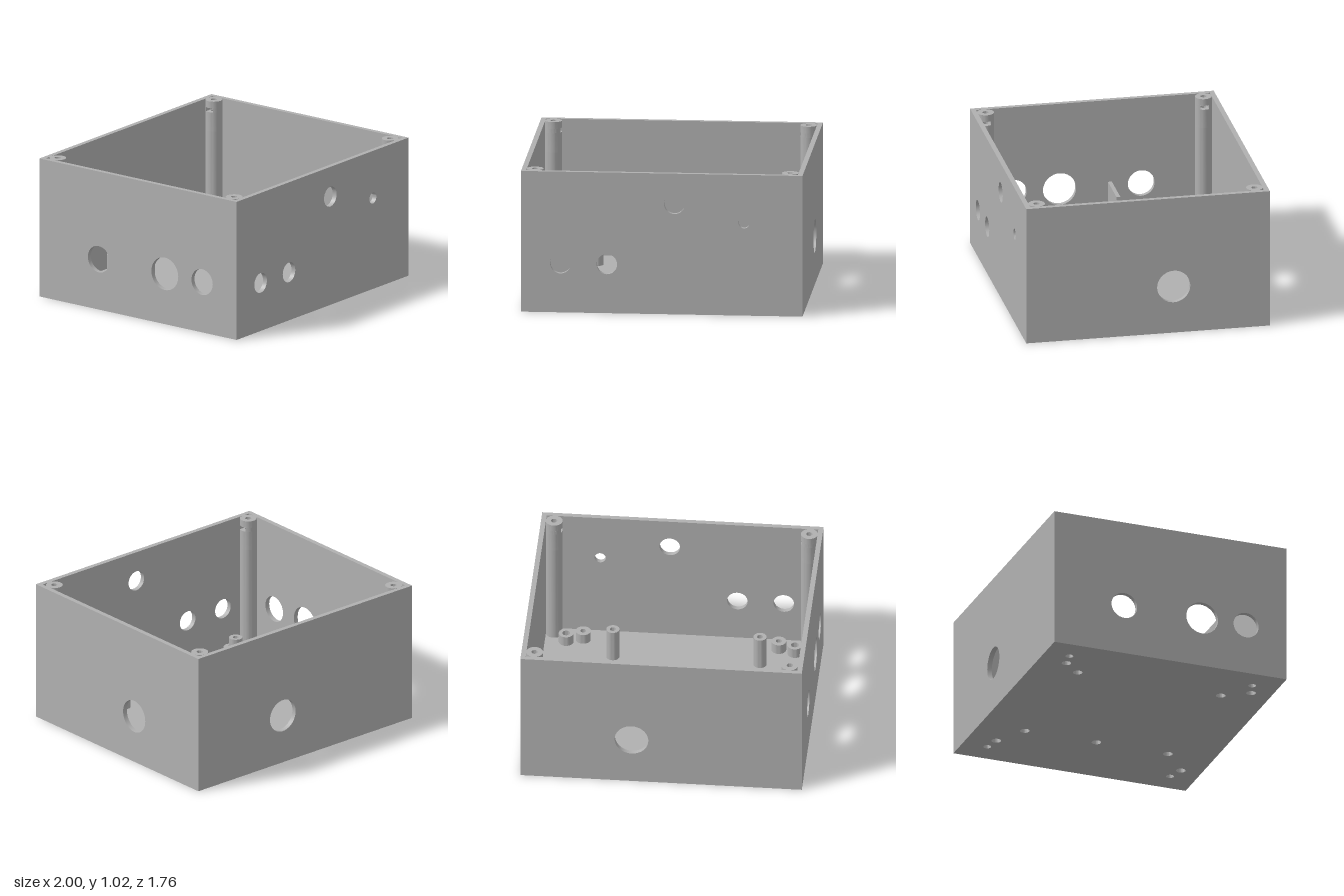
import * as THREE from 'three';
import { toCreasedNormals } from 'three/addons/utils/BufferGeometryUtils.js';

const W = 1, D = 0.88, H = 1.02, T = 0.035;

const grey = new THREE.MeshStandardMaterial({ color: 0xb0b0b0 });
grey.name = 'greyPlastic';

function circlePath(x, y, r, Type = THREE.Path) {
  return new Type().absarc(x, y, r, 0, Math.PI * 2, false);
}

function rectangle(halfWidth, y0, y1) {
  return new THREE.Shape([
    new THREE.Vector2(-halfWidth, y0), new THREE.Vector2(halfWidth, y0),
    new THREE.Vector2(halfWidth, y1), new THREE.Vector2(-halfWidth, y1),
  ]);
}

// Extrudes a shape with circular holes [x, y, r]
function extrude(shape, depth, holes = []) {
  for (const [x, y, r] of holes) shape.holes.push(circlePath(x, y, r));
  const geo = new THREE.ExtrudeGeometry(shape, { depth, bevelEnabled: false, curveSegments: 18 });
  return toCreasedNormals(geo, 0.6);
}

// Extrudes upwards: shape y becomes -z
function extrudeUp(shape, y0, y1, holes) {
  return extrude(shape, y1 - y0, holes).rotateX(-Math.PI / 2).translate(0, y0, 0);
}

export function createModel() {
  const model = new THREE.Group();
  model.name = 'enclosure';

  function add(parent, name, geo, x = 0, y = 0, z = 0) {
    const mesh = new THREE.Mesh(geo, grey);
    mesh.name = name;
    mesh.position.set(x, y, z);
    parent.add(mesh);
    return mesh;
  }

  // Front and back walls with cable holes
  const frontHoles = [[0.09, 0.8, 0.073], [0.585, 0.672, 0.04], [-0.72, 0.355, 0.073], [-0.39, 0.355, 0.073]];
  add(model, 'frontWall', extrude(rectangle(W, 0, H), T, frontHoles), 0, 0, D - T);
  add(model, 'backWall', extrude(rectangle(W, 0, H), T, [[0.21, 0.36, 0.12]]), 0, 0, -D);

  // Side walls, drawn in z and y
  const sideWall = (holes) => extrude(rectangle(D - T, 0, H), T, holes).rotateY(-Math.PI / 2);
  add(model, 'leftWall', sideWall([[-0.185, 0.35, 0.12]]), W);
  add(model, 'rightWall', sideWall([[-0.35, 0.372, 0.097], [0.24, 0.372, 0.12], [0.573, 0.372, 0.095]]), -W + T);

  // Standoffs: x, z, radius, bore, height, floor hole radius
  const standoffs = [];
  for (const s of [-1, 1]) {
    standoffs.push([s * 0.813, -0.695, 0.053, 0.028, 0.11, 0.028]);
    standoffs.push([s * 0.813, 0.69, 0.053, 0.028, 0.11, 0.028]);
    standoffs.push([s * 0.695, -0.672, 0.053, 0.021, 0.11, 0.034]);
    standoffs.push([s * 0.695, 0.727, 0.053, 0.021, 0.11, 0.034]);
    standoffs.push([-0.578, s * 0.542, 0.047, 0.021, 0.275, 0.034]);
    standoffs.push([0.468, s * 0.542, 0.047, 0.021, 0.275, 0.034]);
  }
  standoffs.push([0.467, 0, 0.047, 0.021, 0.275, 0.034]);

  const floorHoles = standoffs.map(([x, z, , , , hole]) => [x, -z, hole]);
  add(model, 'floor', extrudeUp(rectangle(W - T, -D + T, D - T), 0, T, floorHoles));
  for (const [x, z, r, bore, top] of standoffs) {
    add(model, 'standoff', extrudeUp(circlePath(0, 0, r, THREE.Shape), T, top, [[0, 0, bore]]), x, 0, z);
  }

  // Corner screw pillars, with a nut slot facing inwards near the top
  const R = 0.06, slot = 0.03, a = Math.asin(slot / R);
  const disc = () => circlePath(0, 0, R, THREE.Shape);
  const slotted = new THREE.Shape();
  slotted.absarc(0, 0, R, a, Math.PI * 2 - a, false);
  slotted.lineTo(-slot, -slot);
  slotted.lineTo(-slot, slot);
  slotted.closePath();
  const bore = [[0, 0, 0.022]];
  const pillarParts = {
    pillarShaft: extrudeUp(disc(), T, 0.8),
    pillarBore: extrudeUp(disc(), 0.8, 0.94, bore),
    pillarNutSlot: extrudeUp(slotted, 0.94, 0.97),
    pillarTop: extrudeUp(disc(), 0.97, H, bore),
  };
  for (const sx of [-1, 1]) {
    for (const sz of [-1, 1]) {
      const pillar = new THREE.Group();
      pillar.name = 'screwPillar';
      for (const [name, geo] of Object.entries(pillarParts)) add(pillar, name, geo);
      pillar.position.set(sx * 0.907, 0, sz * 0.787);
      if (sx > 0) pillar.rotation.y = Math.PI;
      model.add(pillar);
    }
  }

  // Dividing fin on the floor against the side wall
  add(model, 'dividerFin', new THREE.BoxGeometry(0.305, 0.4 - T, 0.028), -0.8125, (0.4 + T) / 2, -0.123);

  return model;
}
